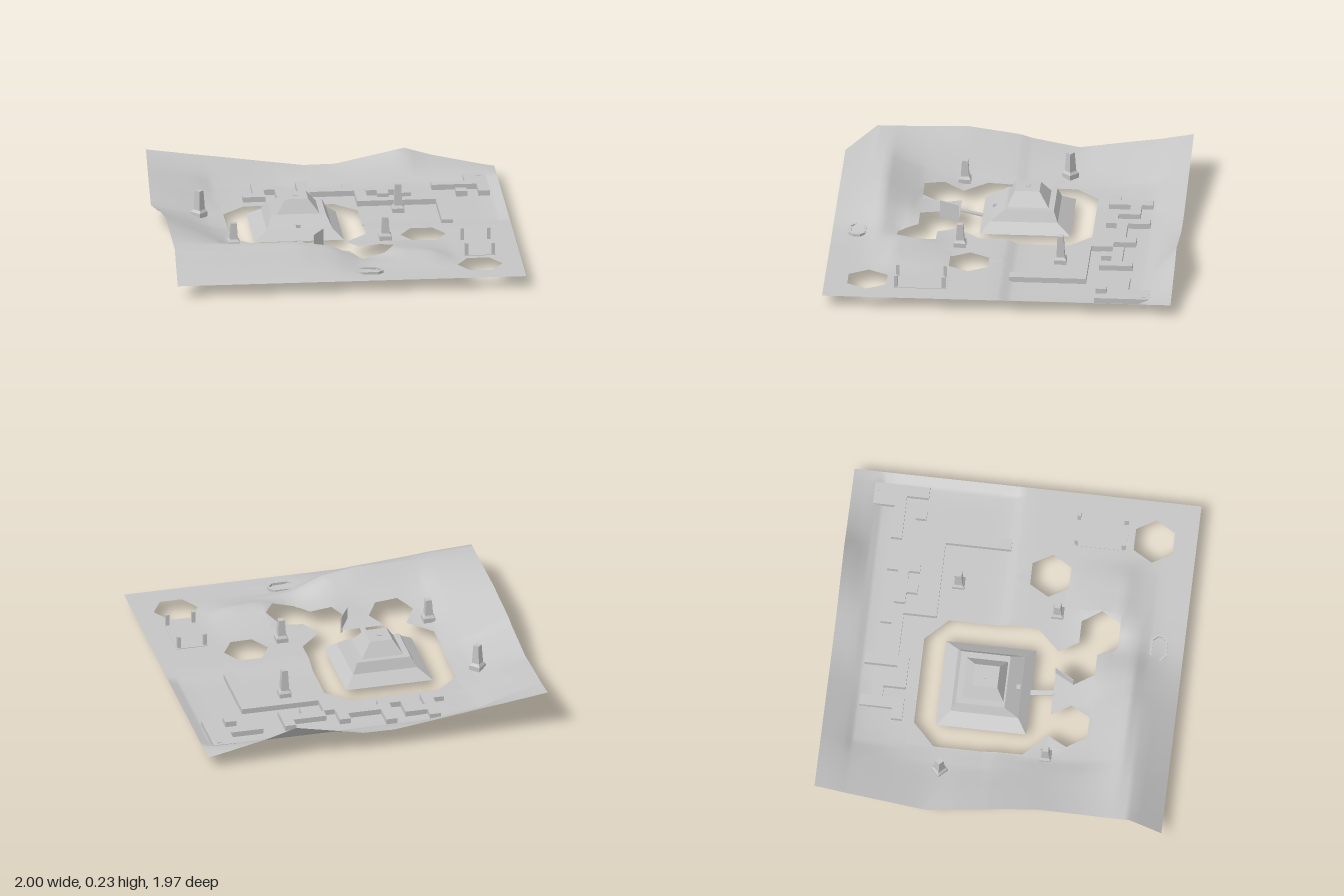
import * as THREE from 'three';
import { mergeVertices } from 'three/addons/utils/BufferGeometryUtils.js';

const stone = new THREE.MeshStandardMaterial({ color: 0xc4c4c4, side: THREE.DoubleSide });
stone.name = 'stone';

const LOW = 0.037, FLAT = 0.067;

// Terrain heights at uneven grid lines; short rows continue at FLAT
const xs = [-0.97, -0.72, -0.6, -0.27, -0.08, 0.1, 0.3, 0.49, 0.64, 0.93, 1];
const court = Array(7).fill(LOW);
const rows = [
  [-0.985, [0.225, 0.19, 0.175, 0.13, 0.105, 0.107, 0.15, 0.19, 0.145, 0.08]],
  [-0.86, [0.2, 0.14, 0.11]],
  [-0.8, [0.187, 0.115, 0.065, ...court]],
  [-0.6, [0.155, 0.075, 0.043, ...court]],
  [-0.34, [0.11, 0.045, LOW, ...court]],
  [-0.08, [0.165, 0.062, 0.04, ...court]],
  [0.0, [0.19, 0.085, 0.055]],
  [0.28, [0.235, 0.125, 0.068]],
  [0.5, [0.23, 0.17, 0.12, 0.09, 0.1, 0.08, 0.115, 0.095]],
  [0.61, [0.227, 0.195, 0.17, 0.155, 0.135, 0.07, 0.125, 0.115]],
  [0.71, [0.226, 0.222, 0.22, 0.22, 0.19, 0.108, 0.09, 0.085]],
  [0.8, [0.225, 0.212, 0.2, 0.175, 0.14, 0.077]],
  [0.98, []],
];
const zs = rows.map((r) => r[0]);
const at = (j, i) => rows[j][1][i] ?? FLAT;

function cell(list, v) {
  let i = 0;
  while (i < list.length - 2 && v > list[i + 1]) i++;
  return [i, THREE.MathUtils.clamp((v - list[i]) / (list[i + 1] - list[i]), 0, 1)];
}

function height(x, z) {
  const [i, u] = cell(xs, x), [j, v] = cell(zs, z);
  const { lerp } = THREE.MathUtils;
  return lerp(lerp(at(j, i), at(j, i + 1), u), lerp(at(j + 1, i), at(j + 1, i + 1), u), v);
}

// Removes a convex hole from a polygon, leaving the pieces outside each edge
function subtract(poly, hole) {
  const out = [];
  let rest = poly;
  hole.forEach((a, k) => {
    const b = hole[(k + 1) % hole.length], inside = [], outside = [];
    const side = (p) => (b[0] - a[0]) * (p[1] - a[1]) - (b[1] - a[1]) * (p[0] - a[0]);
    rest.forEach((p, n) => {
      const q = rest[(n + 1) % rest.length], s = side(p), t = side(q);
      if (s >= 0) inside.push(p);
      if (s <= 0) outside.push(p);
      if (s * t < 0) {
        const f = s / (s - t), m = [p[0] + (q[0] - p[0]) * f, p[1] + (q[1] - p[1]) * f];
        inside.push(m);
        outside.push(m);
      }
    });
    if (outside.length > 2) out.push(outside);
    rest = inside;
  });
  return rest.length > 2 ? out : [poly];
}

function hexagon(x, z, r = 0.127) {
  return Array.from({ length: 6 }, (_, k) => [x + r * Math.cos(k * Math.PI / 3), z + r * Math.sin(k * Math.PI / 3)]);
}

function terrainGeometry() {
  const moat = [[0.17, -0.355], [0.17, 0.15], [0.045, 0.28], [-0.46, 0.28],
    [-0.59, 0.15], [-0.59, -0.355], [-0.46, -0.48], [0.045, -0.48]];
  const holes = [moat, hexagon(-0.4, 0.39), hexagon(-0.02, 0.39), hexagon(0.17, 0.5),
    hexagon(0.49, 0.185), hexagon(0.76, 0.74)];
  const split = (list) => list.slice(1).reduce((r, v, i) => {
    for (let k = 1; k <= 3; k++) r.push(list[i] + (v - list[i]) * k / 3);
    return r;
  }, [list[0]]);
  const gx = split(xs), gz = split(zs), pos = [];
  const put = ([x, z]) => {
    const edge = THREE.MathUtils.clamp((-0.85 - x) / 0.12, 0, 1);
    const bulge = 0.03 * Math.max(0, 1 - Math.abs(z + 0.35) / 0.6);
    pos.push(x - edge * bulge, height(x, z), z);
  };
  for (let i = 0; i < gx.length - 1; i++) for (let j = 0; j < gz.length - 1; j++) {
    let polys = [[[gx[i], gz[j]], [gx[i + 1], gz[j]], [gx[i + 1], gz[j + 1]], [gx[i], gz[j + 1]]]];
    for (const h of holes) polys = polys.flatMap((p) => subtract(p, h));
    for (const p of polys) for (let k = 1; k < p.length - 1; k++) [p[0], p[k + 1], p[k]].forEach(put);
  }
  const g = new THREE.BufferGeometry();
  g.setAttribute('position', new THREE.Float32BufferAttribute(pos, 3));
  const merged = mergeVertices(g, 1e-4);
  merged.computeVertexNormals();
  return merged;
}

// Stack of rectangles [x0, x1, z0, z1, y] joined by flat sides, with a lid
function loft(levels) {
  const pos = [];
  const ring = ([x0, x1, z0, z1, y]) => [[x0, y, z1], [x1, y, z1], [x1, y, z0], [x0, y, z0]];
  const quad = (a, b, c, d) => pos.push(...a, ...b, ...c, ...a, ...c, ...d);
  for (let n = 0; n < levels.length - 1; n++) {
    const p = ring(levels[n]), q = ring(levels[n + 1]);
    for (let k = 0; k < 4; k++) quad(p[k], p[(k + 1) % 4], q[(k + 1) % 4], q[k]);
  }
  quad(...ring(levels[levels.length - 1]));
  const g = new THREE.BufferGeometry();
  g.setAttribute('position', new THREE.Float32BufferAttribute(pos, 3));
  g.computeVertexNormals();
  return g;
}

export function createModel() {
  const model = new THREE.Group();
  model.name = 'ruinedCourtyard';
  const add = (name, geometry, parent = model) => {
    const m = new THREE.Mesh(geometry, stone);
    m.name = name;
    parent.add(m);
    return m;
  };
  const box = (name, x0, x1, y0, y1, z0, z1, parent) => {
    const m = add(name, new THREE.BoxGeometry(x1 - x0, y1 - y0, z1 - z0), parent);
    m.position.set((x0 + x1) / 2, (y0 + y1) / 2, (z0 + z1) / 2);
    return m;
  };

  add('terrain', terrainGeometry());

  // Stepped pyramid in the moat, with its narrow sloping bridge
  add('pyramid', loft([
    [-0.46, 0.045, -0.355, 0.155, LOW], [-0.385, -0.015, -0.28, 0.1, 0.09],
    [-0.355, -0.045, -0.257, 0.02, 0.15], [-0.32, -0.08, -0.225, 0.01, 0.15],
    [-0.27, -0.14, -0.17, -0.03, 0.225],
  ]));
  box('pyramidCap', -0.22, -0.194, 0.215, 0.229, -0.115, -0.089);
  box('entrance', -0.22, -0.194, 0.08, 0.112, 0.065, 0.095);
  const bridge = box('bridge', -0.223, -0.193, 0.048, 0.056, 0.15, 0.285);
  bridge.rotation.x = -0.22;

  // Low maze walls laid out on a grid: [column0, row0, column1, row1]
  const maze = new THREE.Group();
  maze.name = 'mazeWalls';
  model.add(maze);
  const walls = [
    [0, 0, 1, 4], [1, 1, 2, 2], [2, 1, 3, 3], [-1, 3, 0, 4], [2, 3, 5, 4], [4, 0, 5, 3],
    [5, 2, 9, 3], [8, 1, 9, 2], [9, 3, 10, 6], [10, 2, 13, 3], [11, 3, 12, 4], [13, 1, 14, 4],
    [10, 5, 16, 6], [16, 5, 17, 12], [16, 1, 21, 2], [20, 2, 21, 4], [18, 3, 19, 4], [19, -1, 21, 1],
  ];
  const col = (i) => -0.397 + i * 0.0634, row = (j) => -0.797 + j * 0.062;
  for (const [a, b, c, d] of walls) box('wall', col(a), col(c), LOW + 0.001, 0.069, row(b), row(d), maze);
  box('cornerPeg', 0.883, 0.909, 0, 0.073, -0.84, -0.814);

  // Flared standing pillars
  for (const [x, z, turn] of [[-0.73, -0.305, 1], [-0.59, 0.28, 0], [0.27, 0.25, 0], [0.395, -0.325, 0]]) {
    const sq = (h, y) => [-h, h, -h, h, y];
    const base = height(x, z);
    const p = add('pillar', loft([sq(0.034, base - 0.003), sq(0.034, base + 0.025), sq(0.023, base + 0.04), sq(0.017, 0.2)]));
    p.position.set(x, 0, z);
    p.rotation.y = turn * Math.PI / 4;
  }

  // Platform with four posts
  box('platform', 0.685, 0.865, 0.062, 0.07, 0.285, 0.59);
  for (const x of [0.7, 0.85]) for (const z of [0.305, 0.573]) {
    box('post', x - 0.01, x + 0.01, 0.064, 0.137, z - 0.01, z + 0.01);
  }

  // Upright slab along the edge of the six-sided pit beside the bridge
  const slab = add('pitSlab', new THREE.BoxGeometry(0.126, 0.1, 0.004));
  slab.position.set(-0.116, 0.1, 0.335);
  slab.rotation.y = Math.PI / 3;

  // Long eight-sided basin rim
  const outline = (w, d, c) => [[-w, -d + c], [-w + c, -d], [w - c, -d], [w, -d + c],
    [w, d - c], [w - c, d], [-w + c, d], [-w, d - c]].map(([x, y]) => new THREE.Vector2(x, y));
  const shape = new THREE.Shape(outline(0.078, 0.048, 0.03));
  shape.holes.push(new THREE.Path(outline(0.066, 0.036, 0.024)));
  const basin = add('basin', new THREE.ExtrudeGeometry(shape, { depth: 0.022, bevelEnabled: false }));
  basin.rotation.x = -Math.PI / 2;
  basin.position.set(0.125, 0.064, 0.838);

  return model;
}
